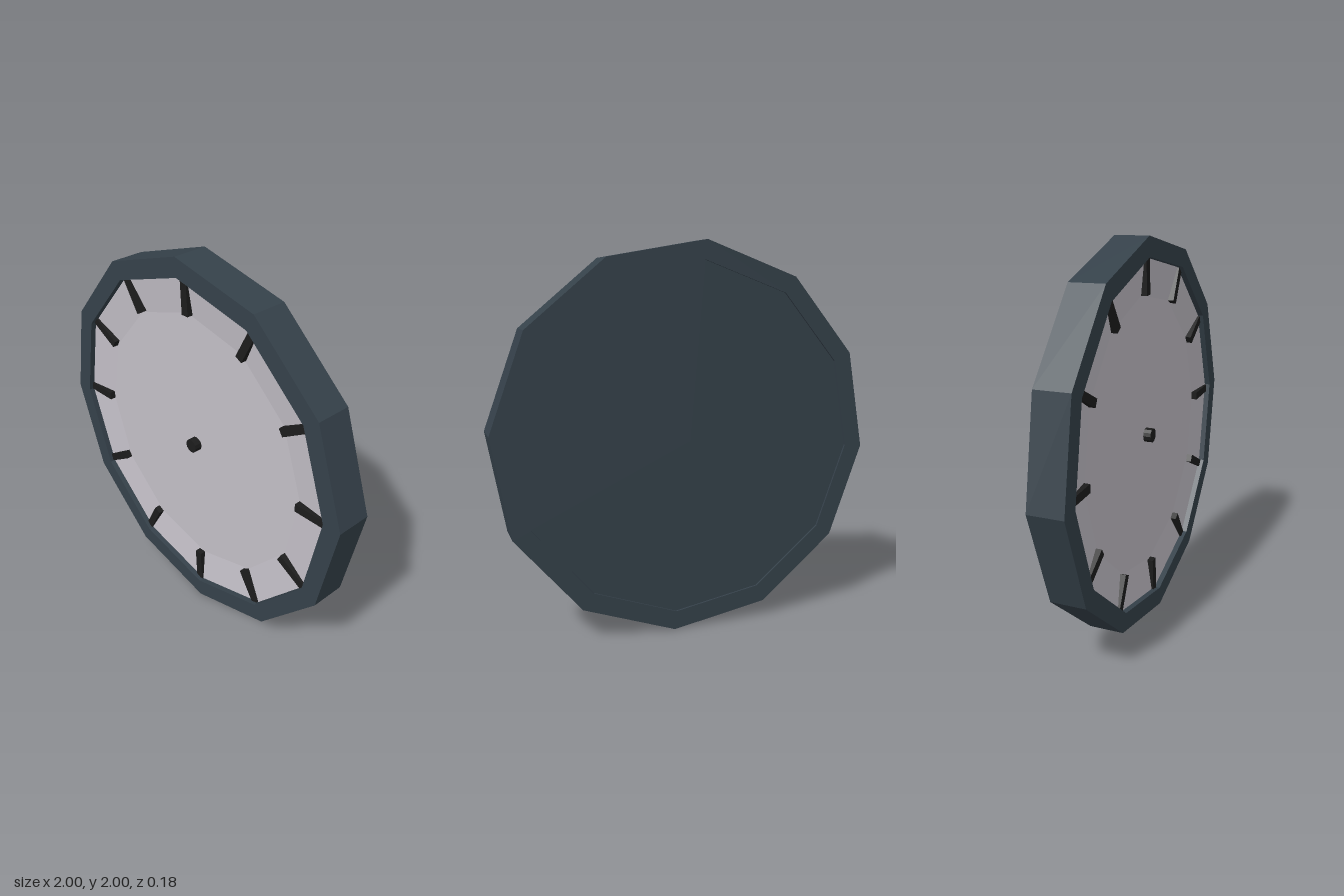
import * as THREE from 'three';

const SIDES = 12;
const TWIST = THREE.MathUtils.degToRad(5);

const material = (color) => new THREE.MeshStandardMaterial({ color, flatShading: true });

// Twelve-sided turned part: profile points are [radius, z], axis along z
function turned(name, profile, mat) {
  const points = profile.map(([r, z]) => new THREE.Vector2(r, z));
  const geometry = new THREE.LatheGeometry(points, SIDES);
  geometry.rotateX(Math.PI / 2);
  geometry.rotateZ(TWIST);
  const mesh = new THREE.Mesh(geometry, mat);
  mesh.name = name;
  return mesh;
}

export function createModel() {
  const model = new THREE.Group();
  model.name = 'wallClock';
  const frameMat = material(0x35414a);
  const faceMat = material(0xc3bfc7);
  const markMat = material(0x1c1c1c);

  const clock = new THREE.Group();
  clock.name = 'clock';
  clock.position.y = 1;
  model.add(clock);

  // Heavy outer rim
  clock.add(turned('rim', [
    [0.905, -0.09], [1.004, -0.09], [1.004, 0.09], [0.905, 0.09], [0.905, -0.09],
  ], frameMat));

  // Shallow dished face, and the slightly recessed back panel
  clock.add(turned('face', [[0.905, 0.06], [0.72, 0.038], [0, 0.038]], faceMat));
  clock.add(turned('backPanel', [[0, -0.08], [0.905, -0.08]], frameMat));

  // Hour marks around the edge
  const marks = new THREE.Group();
  marks.name = 'hourMarks';
  for (let i = 0; i < SIDES; i++) {
    const geometry = new THREE.BoxGeometry(0.183, 0.042, 0.04);
    geometry.translate(0.8105, 0, 0.05);
    const mark = new THREE.Mesh(geometry, markMat);
    mark.name = 'hourMark';
    mark.rotation.z = THREE.MathUtils.degToRad(3.6 + i * 30);
    marks.add(mark);
  }
  clock.add(marks);

  // Central pin
  const pin = new THREE.Mesh(new THREE.CylinderGeometry(0.037, 0.037, 0.045, 12), markMat);
  pin.name = 'centrePin';
  pin.rotation.x = Math.PI / 2;
  pin.position.z = 0.055;
  clock.add(pin);

  return model;
}
